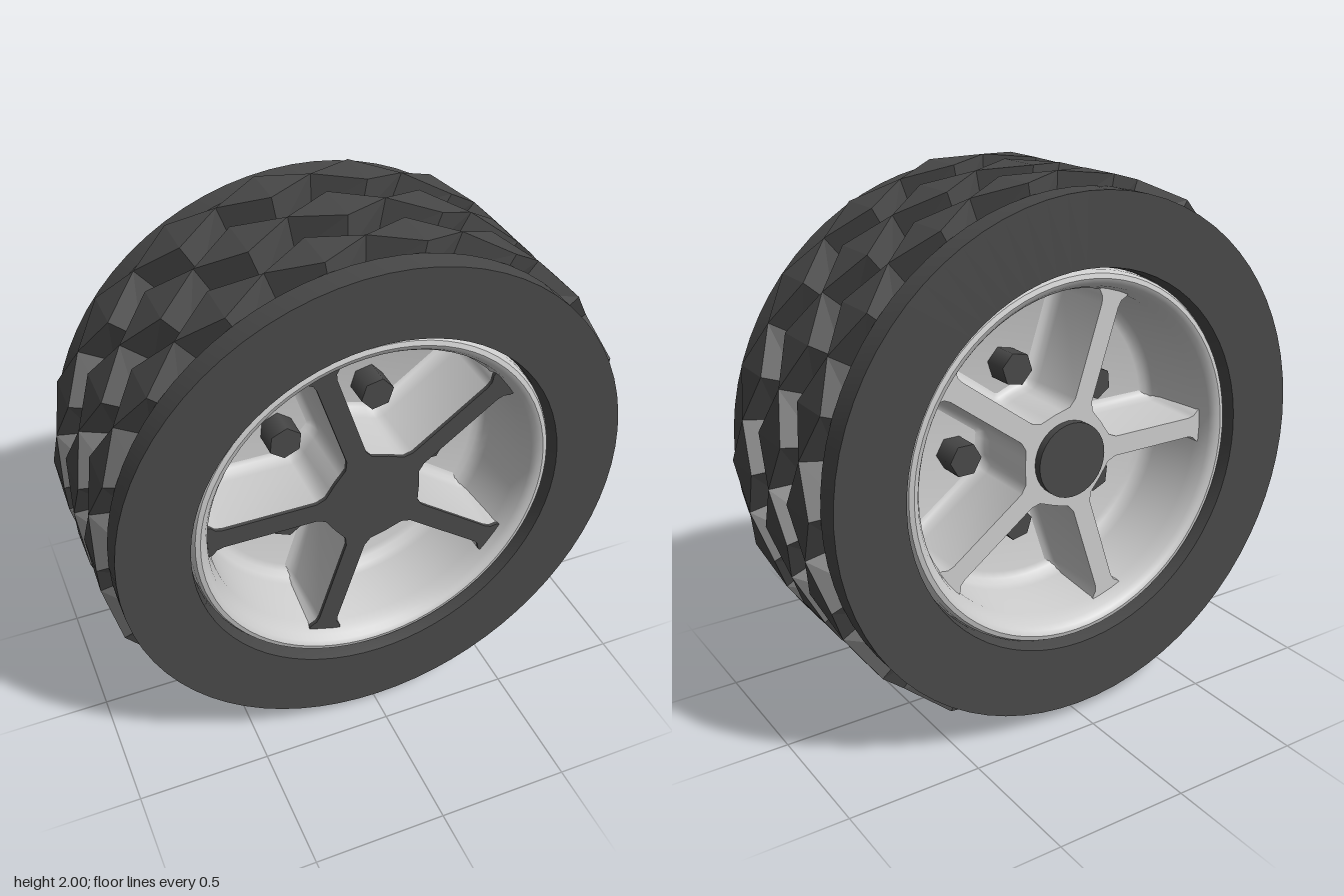
import * as THREE from 'three';
import { toCreasedNormals } from 'three/addons/utils/BufferGeometryUtils.js';

const rubber = new THREE.MeshStandardMaterial({ color: 0x484848 });
const metal = new THREE.MeshStandardMaterial({ color: 0xcccccc });
const STEP = (Math.PI * 2) / 5;

function add(parent, name, geometry, material) {
  const mesh = new THREE.Mesh(geometry, material);
  mesh.name = name;
  parent.add(mesh);
  return mesh;
}

// Solid of revolution about z from [radius, z] points
function turned(profile, segments) {
  const g = new THREE.LatheGeometry(profile.map(([r, z]) => new THREE.Vector2(r, z)), segments);
  return toCreasedNormals(g.rotateX(Math.PI / 2), 0.6);
}

// Cylinder lying along z
function rod(radius, z0, z1, sides) {
  const g = new THREE.CylinderGeometry(radius, radius, z1 - z0, sides);
  return g.rotateX(Math.PI / 2).translate(0, 0, (z0 + z1) / 2);
}

// Profile for one half, followed by its mirror image in z
const mirrored = (half) => [...half.map(([r, z]) => [r, -z]).reverse(), ...half];

// Ring of folded diamond blocks with radial walls
function treadRow(zc, halfWidth, phase) {
  const count = 18, half = Math.PI / count, pos = [];
  const point = (r, a, z) => [r * Math.cos(a), r * Math.sin(a), z];
  for (let i = 0; i < count; i++) {
    const a = (i * 2 + phase) * half;
    const corners = [[a - half, zc], [a, zc - halfWidth], [a + half, zc], [a, zc + halfWidth]];
    const top = corners.map(([t, z]) => point(1, t, z));
    const base = corners.map(([t, z]) => point(0.86, t, z));
    pos.push(...top[0], ...top[1], ...top[3], ...top[1], ...top[2], ...top[3]);
    for (let k = 0; k < 4; k++) {
      const n = (k + 1) % 4;
      pos.push(...base[k], ...base[n], ...top[n], ...base[k], ...top[n], ...top[k]);
    }
  }
  const g = new THREE.BufferGeometry();
  g.setAttribute('position', new THREE.Float32BufferAttribute(pos, 3));
  g.computeVertexNormals();
  return g;
}

// Hub and five flared spokes as one closed outline
function starOutline() {
  const side = [[0.146, 0.106], [0.163, 0.08], [0.182, 0.052], [0.215, 0.038],
    [0.56, 0.038], [0.585, 0.044], [0.603, 0.062], [0.618, 0.066]];
  const spoke = [...side.map(([u, v]) => [u, -v]), ...side.slice(1).reverse()];
  const pts = [];
  for (let i = 0; i < 5; i++) {
    const a = Math.PI + i * STEP;
    for (const [u, v] of spoke) {
      pts.push(new THREE.Vector2(u, v).rotateAround(new THREE.Vector2(), a));
    }
  }
  return pts;
}

// Move every outline point outward along its normal
function offset(pts, d) {
  return pts.map((p, i) => {
    const t = pts[(i + 1) % pts.length].clone().sub(pts.at(i - 1)).normalize();
    return new THREE.Vector2(p.x + t.y * d, p.y - t.x * d);
  });
}

// Loft the star through [z, offset] rows
function starWalls(rows) {
  const outline = starOutline(), n = outline.length, pos = [], index = [];
  rows.forEach(([z, d], r) => {
    offset(outline, d).forEach((p, i) => {
      pos.push(p.x, p.y, z);
      if (r === 0) return;
      const a = (r - 1) * n + i, b = (r - 1) * n + ((i + 1) % n);
      index.push(a, b, b + n, a, b + n, a + n);
    });
  });
  const g = new THREE.BufferGeometry();
  g.setAttribute('position', new THREE.Float32BufferAttribute(pos, 3));
  g.setIndex(index);
  return toCreasedNormals(g, 0.8);
}

const starFace = (z) => new THREE.ShapeGeometry(new THREE.Shape(starOutline())).translate(0, 0, z);

export function createModel() {
  const wheel = new THREE.Group();
  wheel.name = 'wheel';
  wheel.position.y = 1;

  // Tyre carcass with a sunken tread bed
  const tyreProfile = mirrored([[0.88, 0], [0.88, 0.315], [0.957, 0.315], [0.957, 0.41],
    [0.7, 0.41], [0.69, 0.35], [0.69, 0]]);
  // Rotate the list so the surface runs outside, then back along the bore
  const outer = tyreProfile.slice(7, 14);
  const back = outer.map(([r, z]) => [r, -z]).reverse();
  add(wheel, 'tyre', turned([...back, ...outer], 72), rubber);

  // Three staggered rows of tread blocks
  add(wheel, 'centreTread', treadRow(0, 0.09, 1), rubber);
  for (const s of [1, -1]) add(wheel, 'outerTread', treadRow(s * 0.233, 0.085, 0), rubber);

  // Rim: rounded lip, barrel and filleted web floor on both sides
  const rimHalf = [[0.69, 0.3], [0.685, 0.36], [0.675, 0.378], [0.658, 0.383], [0.64, 0.375],
    [0.626, 0.355], [0.618, 0.325], [0.608, 0.3], [0.595, 0.1], [0.587, 0.07], [0.57, 0.05],
    [0.545, 0.04], [0, 0.04]];
  const backRim = rimHalf.map(([r, z]) => [r, -z]).reverse();
  add(wheel, 'rim', turned([...backRim, ...rimHalf], 72), metal);

  // Spokes on both sides, filleted into the floor
  for (const side of ['front', 'back']) {
    const spokes = new THREE.Group();
    spokes.name = side + 'Spokes';
    if (side === 'back') spokes.rotation.x = Math.PI;
    add(spokes, 'spokeWalls', starWalls([[0.04, 0.038], [0.047, 0.022], [0.062, 0.01],
      [0.09, 0.004], [0.315, 0]]), metal);
    if (side === 'front') {
      add(spokes, 'facePlateEdge', starWalls([[0.315, 0], [0.33, 0]]), rubber);
      add(spokes, 'facePlate', starFace(0.33), rubber);
    } else {
      add(spokes, 'spokeFace', starFace(0.315), metal);
      add(spokes, 'hubCap', rod(0.14, 0.3, 0.345, 32), rubber);
    }
    wheel.add(spokes);
  }

  // Hex nuts between the spokes, showing on both sides
  for (let i = 0; i < 5; i++) {
    const nut = add(wheel, 'wheelNut', rod(0.064, -0.14, 0.14, 6).rotateZ(Math.PI / 2)
      .translate(0.315, 0, 0), rubber);
    nut.rotation.z = i * STEP;
  }

  const model = new THREE.Group();
  model.name = 'model';
  model.add(wheel);
  return model;
}
